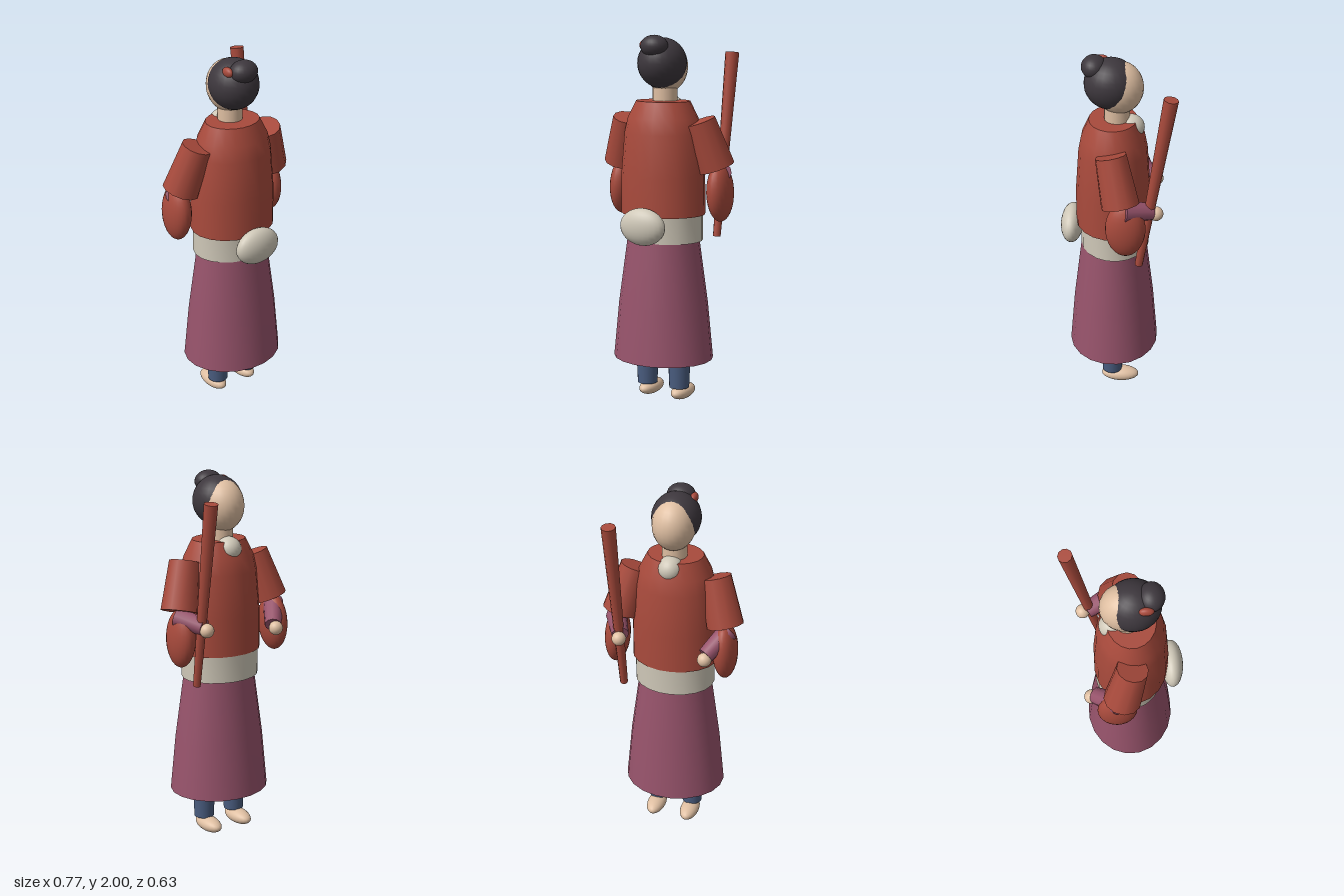
import * as THREE from 'three';
import { toCreasedNormals } from 'three/addons/utils/BufferGeometryUtils.js';

const mat = (name, color) => {
  const m = new THREE.MeshStandardMaterial({ color });
  m.name = name;
  return m;
};

export function createModel() {
  const red = mat('red cloth', 0xa84a3c);
  const plum = mat('plum cloth', 0x97536b);
  const cream = mat('cream cloth', 0xcfc8b8);
  const black = mat('black hair', 0x3d373d);
  const skin = mat('skin', 0xdfbfa2);
  const blue = mat('blue cloth', 0x4a5d80);

  const model = new THREE.Group();
  model.name = 'robedFigure';

  const add = (name, geometry, material, pos = [0, 0, 0]) => {
    const mesh = new THREE.Mesh(geometry, material);
    mesh.name = name;
    mesh.position.set(...pos);
    model.add(mesh);
    return mesh;
  };

  // Ellipsoid with the given centre and radii
  const blob = (name, material, pos, radii) => {
    const mesh = add(name, new THREE.SphereGeometry(1, 24, 16), material, pos);
    mesh.scale.set(...radii);
    return mesh;
  };

  // Tapered rod between two points
  const rod = (name, material, from, to, r0, r1, sides = 12) => {
    const a = new THREE.Vector3(...from);
    const b = new THREE.Vector3(...to);
    const dir = b.clone().sub(a);
    const mesh = add(name, new THREE.CylinderGeometry(r1, r0, dir.length(), sides), material);
    mesh.position.copy(a).add(b).multiplyScalar(0.5);
    mesh.quaternion.setFromUnitVectors(new THREE.Vector3(0, 1, 0), dir.normalize());
    return mesh;
  };

  // Closed oval body turned from [radius, height] pairs, bottom to top
  const oval = (name, material, profile, depth, z) => {
    const closed = [[0, profile[0][1]], ...profile, [0, profile.at(-1)[1]]];
    const geometry = new THREE.LatheGeometry(
      closed.map(([r, y]) => new THREE.Vector2(r, y)), 20, Math.PI / 20);
    geometry.scale(1, 1, depth);
    return add(name, toCreasedNormals(geometry, 0.6), material, [0, 0, z]);
  };

  // Robe
  oval('skirt', plum, [[0.28, 0.245], [0.25, 0.55], [0.2, 0.91]], 0.88, 0.028);
  oval('sash', cream, [[0.218, 0.9], [0.218, 1.07]], 0.845, 0.02);
  oval('torso', red,
    [[0.236, 1.045], [0.234, 1.25], [0.215, 1.48], [0.196, 1.56], [0.15, 1.65]], 0.845, 0.031);
  blob('sashBow', cream, [0, 1, 0.255], [0.132, 0.1, 0.061]);
  blob('collar', cream, [0, 1.605, -0.06], [0.068, 0.068, 0.074]);

  // Head and hair
  rod('neck', skin, [0, 1.6, 0.01], [0, 1.74, 0.01], 0.067, 0.067, 16);
  blob('head', skin, [0, 1.83, 0], [0.115, 0.14, 0.128]);
  blob('hair', black, [0, 1.85, 0.041], [0.13, 0.135, 0.14]);
  blob('bun', black, [0, 1.941, 0.127], [0.076, 0.059, 0.066]);
  blob('hairOrnament', red, [-0.078, 1.945, 0.097], [0.02, 0.026, 0.038]);

  for (const s of [1, -1]) {
    const side = s > 0 ? 'left' : 'right';

    // Legs and feet
    rod(side + 'Leg', blue, [s * 0.1, 0.08, 0.03], [s * 0.1, 0.4, 0.03], 0.055, 0.068, 16);
    blob(side + 'Foot', skin, [s * 0.1, 0.045, -0.015], [0.052, 0.041, 0.105]);

    // Wide sleeves
    rod(side + 'UpperSleeve', red, [s * 0.29, 1.3, -0.03], [s * 0.22, 1.55, 0.025], 0.1, 0.082);
    blob(side + 'HangingSleeve', red, [s * 0.3, 1.165, -0.057], [0.065, 0.158, 0.105])
      .rotation.z = s * 0.04;

    // Forearms: the one holding the staff is raised a little higher
    const hand = s > 0 ? [0.24, 1.23, -0.212] : [-0.222, 1.168, -0.19];
    const wrist = [hand[0], hand[1] + 0.012, hand[2] + 0.025];
    rod(side + 'Forearm', plum, [s * 0.31, 1.275, -0.045], wrist, 0.056, 0.045);
    blob(side + 'Hand', skin, hand, [0.038, 0.038, 0.038]);
  }

  // Tapered staff
  rod('staff', red, [0.247, 0.91, -0.125], [0.257, 1.9, -0.277], 0.021, 0.038, 10);

  return model;
}
